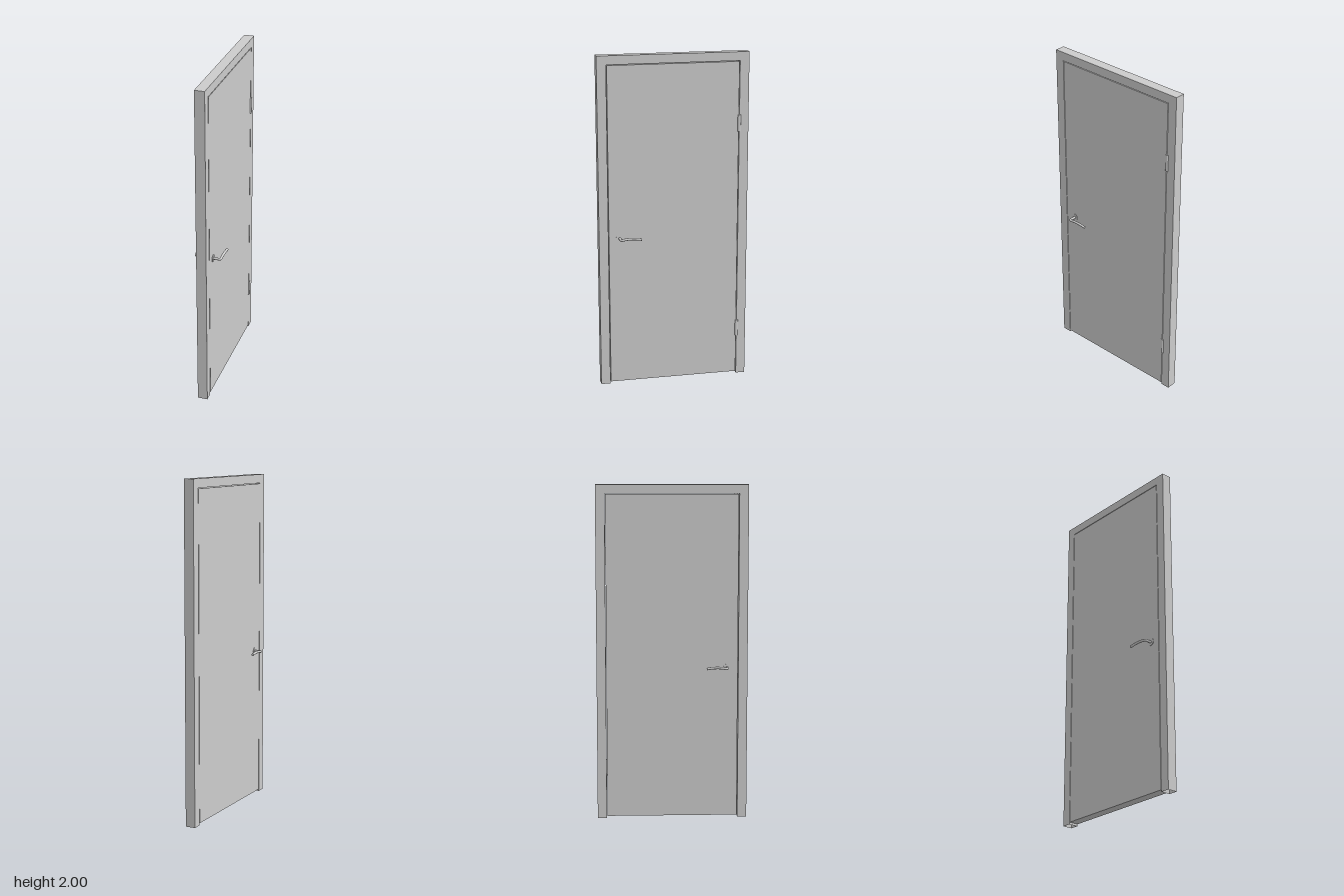
import * as THREE from 'three';

export function createModel() {
  const root = new THREE.Group();
  const mat = new THREE.MeshStandardMaterial({ color: 0xcccccc, side: THREE.DoubleSide });

  function add(name, geometry, x, y, z, parent = root) {
    const mesh = new THREE.Mesh(geometry, mat);
    mesh.name = name;
    mesh.position.set(x, y, z);
    parent.add(mesh);
    return mesh;
  }

  const depth = 0.06, topY = 1.948;

  // Frame: header across the top, two hollow jambs open at the floor
  add('frameHeader', new THREE.BoxGeometry(depth, 2 - topY, 0.9), 0, (2 + topY) / 2, 0);
  for (const s of [1, -1]) {
    const jamb = new THREE.BoxGeometry(depth, topY, 0.055);
    const faces = Array.from(jamb.index.array);
    faces.splice(18, 6); // bottom face
    jamb.setIndex(faces);
    jamb.clearGroups();
    add(s > 0 ? 'latchJamb' : 'hingeJamb', jamb, 0, topY / 2, s * 0.4225);
  }

  // Door leaf with a narrow gap all round
  const bottom = 0.012, leafTop = 1.944;
  add('doorLeaf', new THREE.BoxGeometry(depth, leafTop - bottom, 0.782), 0, (bottom + leafTop) / 2, 0);

  // Hinge barrels on the left face
  for (const y of [0.3, 1.58]) {
    add('hinge', new THREE.CylinderGeometry(0.01, 0.01, 0.1, 24), 0.027, y, -0.394);
  }

  // Lever handle: round rose, shank, rounded bend and slightly arched grip
  const path = new THREE.CurvePath();
  const v = (x, y, z) => new THREE.Vector3(x, y, z);
  path.add(new THREE.LineCurve3(v(0.028, 0.917, 0.327), v(0.064, 0.917, 0.327)));
  path.add(new THREE.QuadraticBezierCurve3(v(0.064, 0.917, 0.327), v(0.076, 0.917, 0.327), v(0.076, 0.918, 0.315)));
  path.add(new THREE.QuadraticBezierCurve3(v(0.076, 0.918, 0.315), v(0.076, 0.928, 0.262), v(0.076, 0.916, 0.204)));
  const leverGeometry = new THREE.TubeGeometry(path, 60, 0.0075, 16);
  const roseGeometry = new THREE.CylinderGeometry(0.022, 0.022, 0.004, 32).rotateZ(Math.PI / 2);

  // End cap closing the grip
  const capGeometry = new THREE.CircleGeometry(0.0075, 16).rotateY(Math.PI);

  for (const s of [1, -1]) {
    const handle = new THREE.Group();
    handle.name = s > 0 ? 'leftHandle' : 'rightHandle';
    add('rose', roseGeometry, 0.031, 0.917, 0.328, handle);
    add('lever', leverGeometry, 0, 0, 0, handle);
    add('leverEnd', capGeometry, 0.076, 0.916, 0.204, handle);
    handle.scale.x = s;
    root.add(handle);
  }
  return root;
}
